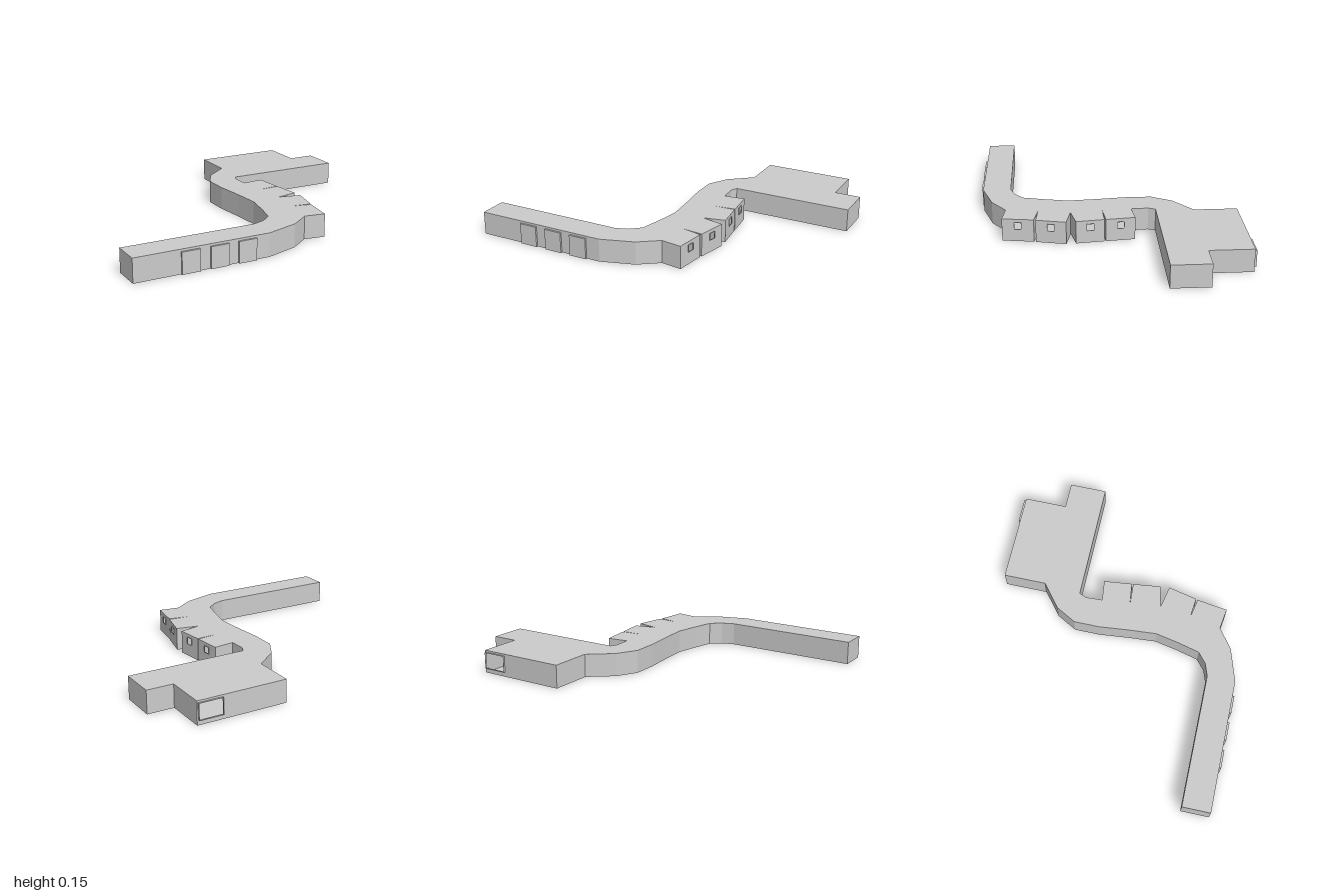
import * as THREE from 'three';

const HEIGHT = 0.147;
const material = new THREE.MeshStandardMaterial({ color: 0xcccccc, flatShading: true, side: THREE.DoubleSide });

// Floor plan as x, z corners; the outside lies to the right of each edge's direction
const plan = [
  // long wing, front wall and outer bend
  [-1, 0.803], [-0.15, 0.803], [0.06, 0.737], [0.187, 0.645],
  // four bays separated by narrow notches
  [0.32, 0.665], [0.348, 0.468], [0.22, 0.442], [0.353, 0.457], [0.395, 0.27],
  [0.25, 0.24], [0.39, 0.21], [0.368, 0.033], [0.225, 0.041], [0.368, 0.025],
  [0.348, -0.158], [0.215, -0.142],
  // inner bend and wide block
  [0.21, -0.25], [0.23, -0.295], [1, -0.295], [1, -0.535], [0.83, -0.535],
  [0.83, -0.808], [0.25, -0.808], [0.25, -0.535],
  // corridor back wall and inner bend
  [0.10, -0.415], [0.028, -0.285], [0.028, -0.12], [0.047, 0.07], [0.06, 0.25],
  [0.03, 0.40], [-0.005, 0.54], [-0.07, 0.595], [-0.15, 0.623], [-1, 0.623],
];

// Openings by wall index: u runs along the wall from its first corner
const windowAt = (u) => ({ name: 'window', u, w: 0.047, y0: 0.08, y1: 0.126, out: 0.005 });
const openings = {
  4: [windowAt(0.1)],
  7: [windowAt(0.096)],
  10: [windowAt(0.089)],
  13: [windowAt(0.092)],
  21: [{ name: 'backOpening', u: 0.085, w: 0.155, y0: 0.03, y1: 0.135, out: 0.012 }],
};

function rectangle(target, x0, y0, x1, y1) {
  target.moveTo(x0, y0);
  target.lineTo(x1, y0);
  target.lineTo(x1, y1);
  target.lineTo(x0, y1);
  target.closePath();
  return target;
}

function add(parent, name, geometry) {
  const mesh = new THREE.Mesh(geometry, material);
  mesh.name = name;
  parent.add(mesh);
  return mesh;
}

// One wall panel with its openings; local z points outwards
function makeWall(a, b, holes) {
  const dx = b[0] - a[0], dz = b[1] - a[1];
  const wall = new THREE.Group();
  wall.name = 'wall';
  wall.position.set(a[0], 0, a[1]);
  wall.rotation.y = Math.atan2(-dz, dx);
  const panel = rectangle(new THREE.Shape(), 0, 0, Math.hypot(dx, dz), HEIGHT);
  for (const { name, u, w, y0, y1, out } of holes) {
    const t = 0.002;
    const hole = rectangle(new THREE.Path(), u - w / 2 + t, y0 + t, u + w / 2 - t, y1 - t);
    panel.holes.push(hole);
    // thin projecting surround
    const rim = rectangle(new THREE.Shape(), u - w / 2, y0, u + w / 2, y1);
    rim.holes.push(hole);
    add(wall, name + 'Frame', new THREE.ExtrudeGeometry(rim, { depth: out, bevelEnabled: false }));
  }
  add(wall, 'wallPanel', new THREE.ShapeGeometry(panel));
  return wall;
}

export function createModel() {
  const model = new THREE.Group();
  model.name = 'building';

  // Floor and roof share the plan
  const slab = new THREE.ShapeGeometry(new THREE.Shape(plan.map(([x, z]) => new THREE.Vector2(x, -z))));
  slab.rotateX(-Math.PI / 2);
  add(model, 'floor', slab);
  add(model, 'roof', slab).position.y = HEIGHT;

  // Walls
  plan.forEach((corner, i) => {
    model.add(makeWall(corner, plan[(i + 1) % plan.length], openings[i] || []));
  });

  // Three doors along the long wing
  for (const x of [-0.655, -0.475, -0.297]) {
    const door = add(model, 'door', new THREE.BoxGeometry(0.114, 0.133, 0.012));
    door.position.set(x, 0.0665, 0.809);
  }
  return model;
}
